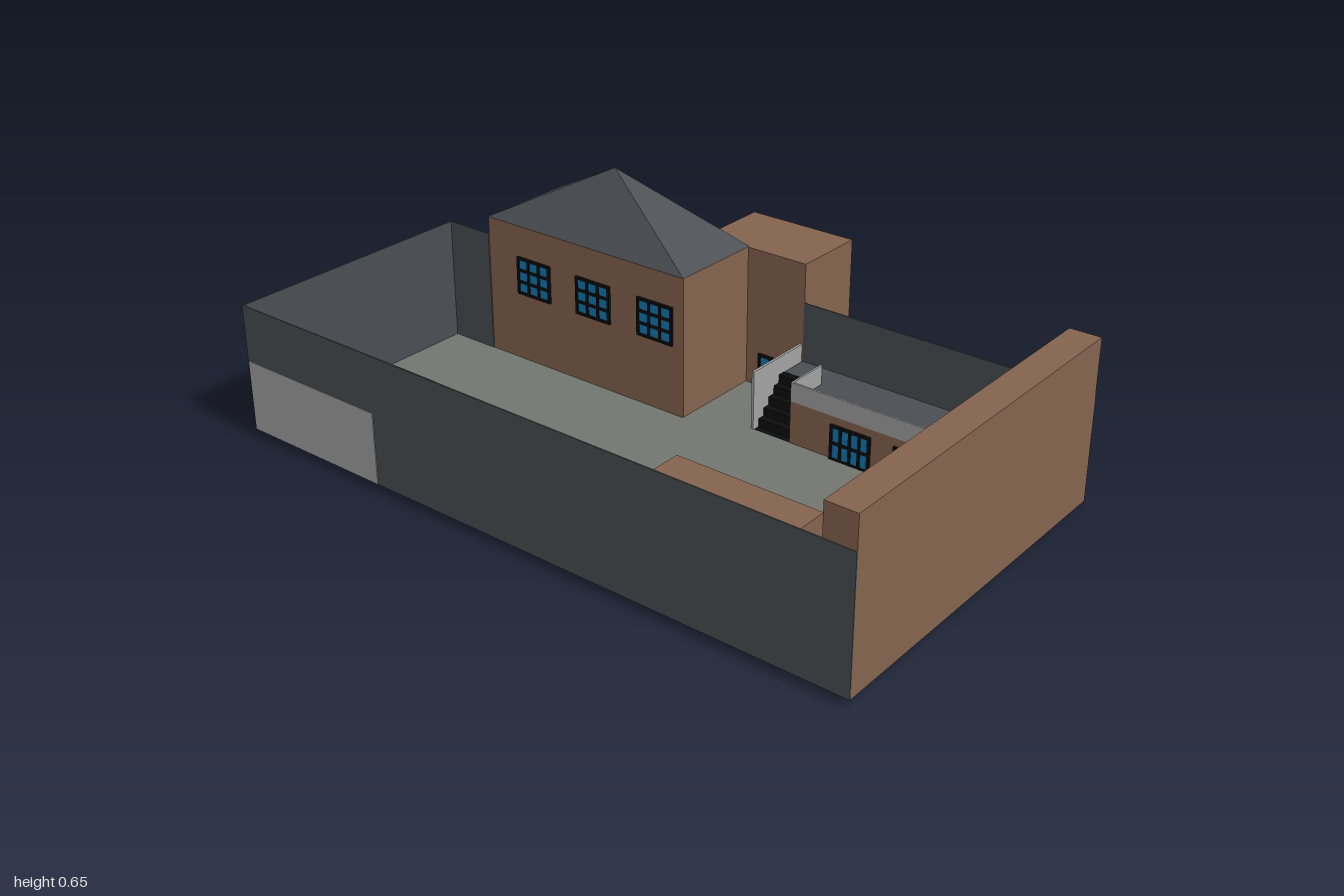
import * as THREE from 'three';

const mat = (name, color, side = THREE.FrontSide) => {
  const m = new THREE.MeshStandardMaterial({ color, side });
  m.name = name;
  return m;
};

export function createModel() {
  const root = new THREE.Group();
  root.name = 'walledCourtyard';
  const brick = mat('brick', 0x84634e);
  const slate = mat('slate', 0x4a4e53);
  const paving = mat('paving', 0x727570);
  const concrete = mat('concrete', 0xa2a2a2);
  const black = mat('black', 0x0c0c0c);
  const glass = mat('glass', 0x1278b0);
  const grass = mat('grass', 0x12cc22, THREE.DoubleSide);

  // Box given by its minimum and maximum corners
  const block = (name, m, x0, x1, y0, y1, z0, z1, parent = root) => {
    const mesh = new THREE.Mesh(new THREE.BoxGeometry(x1 - x0, y1 - y0, z1 - z0), m);
    mesh.position.set((x0 + x1) / 2, (y0 + y1) / 2, (z0 + z1) / 2);
    mesh.name = name;
    parent.add(mesh);
    return mesh;
  };

  // Glazed opening facing local +z, with frame and glazing bars
  const glazing = (name, x, y, z, w, h, turn, cols = 3, rows = 3) => {
    const g = new THREE.Group();
    g.name = name;
    block('pane', glass, -w / 2, w / 2, -h / 2, h / 2, 0, 0.004, g);
    const t = 0.004;
    for (let i = 0; i <= cols; i++) {
      const bx = -w / 2 + (w * i) / cols;
      block('uprightBar', black, bx - t, bx + t, -h / 2 - t, h / 2 + t, 0, 0.008, g);
    }
    for (let j = 0; j <= rows; j++) {
      const by = -h / 2 + (h * j) / rows;
      block('crossBar', black, -w / 2, w / 2, by - t, by + t, 0, 0.0078, g);
    }
    g.position.set(x, y, z);
    g.rotation.y = turn;
    root.add(g);
  };

  // Courtyard floor, cut out below the terrace and the tower
  const outline = [[-0.658, -0.998], [0.13, -0.998], [0.13, -0.1], [0.428, -0.1],
    [0.428, 0.09], [0.2, 0.09], [0.2, 0.91], [-0.658, 0.91]];
  const floorGeo = new THREE.ExtrudeGeometry(
    new THREE.Shape(outline.map(([x, z]) => new THREE.Vector2(x, z))),
    { depth: 0.006, bevelEnabled: false });
  floorGeo.rotateX(Math.PI / 2);
  const floor = new THREE.Mesh(floorGeo, paving);
  floor.name = 'courtyardFloor';
  floor.position.y = 0.027;
  root.add(floor);

  // Front block with two columns of windows above doors
  block('frontBlock', brick, -0.66, 0.428, 0.022, 0.495, 0.91, 1);
  for (const x of [-0.27, -0.045]) {
    for (const y of [0.28, 0.44]) glazing('frontBlockWindow', x, y, 0.91, 0.1, 0.085, Math.PI);
    glazing('frontBlockDoor', x, 0.078, 0.91, 0.12, 0.096, Math.PI, 4, 2);
  }

  // Boundary walls
  block('rightBoundary', slate, -0.662, -0.658, 0.022, 0.402, -1, 1);
  block('backBoundary', slate, -0.66, 0.132, 0.022, 0.402, -1, -0.996);
  block('returnBoundary', slate, 0.128, 0.132, 0.022, 0.402, -1, -0.84);
  block('leftBoundary', slate, 0.427, 0.431, 0.01, 0.335, 0.1, 1);

  // Shed in the back corner
  block('shed', concrete, -0.664, -0.43, 0.023, 0.235, -0.995, -0.5);
  for (const z of [-0.875, -0.64]) glazing('shedDoor', -0.43, 0.078, z, 0.11, 0.1, Math.PI / 2, 4, 2);

  // Small brick outbuilding and its lawn
  block('outbuilding', brick, -0.657, -0.43, 0.018, 0.3, 0.33, 0.76);
  for (const z of [0.45, 0.61]) glazing('outbuildingDoor', -0.43, 0.078, z, 0.1, 0.1, Math.PI / 2, 4, 2);
  glazing('outbuildingBackDoor', -0.6, 0.078, 0.33, 0.1, 0.1, Math.PI, 4, 2);
  const lawn = new THREE.Mesh(new THREE.CircleGeometry(0.118, 12, 0, Math.PI / 2), grass);
  lawn.name = 'quarterLawn';
  lawn.rotation.x = -Math.PI / 2;
  lawn.position.set(-0.657, 0.03, 0.33);
  root.add(lawn);

  // Tower with hipped roof
  block('tower', brick, 0.132, 0.43, 0.023, 0.455, -0.84, -0.1);
  const roofGeo = new THREE.ConeGeometry(Math.SQRT1_2, 0.195, 4).rotateY(Math.PI / 4)
    .scale(0.3, 1, 0.742).toNonIndexed();
  roofGeo.computeVertexNormals();
  const roof = new THREE.Mesh(roofGeo, slate);
  roof.name = 'towerRoof';
  roof.position.set(0.281, 0.5535, -0.47);
  root.add(roof);
  for (const z of [-0.66, -0.43, -0.2]) glazing('towerWindow', 0.132, 0.3, z, 0.12, 0.11, -Math.PI / 2);

  // Side annex
  block('annex', brick, 0.429, 0.66, 0.023, 0.453, -0.25, 0.1);
  glazing('annexDoor', 0.429, 0.078, -0.01, 0.08, 0.1, -Math.PI / 2, 2, 2);

  // Raised terrace: facade, end walls, deck and parapets
  block('terraceFacade', brick, 0.2, 0.206, 0.022, 0.155, 0.22, 0.77);
  block('terraceDeck', slate, 0.205, 0.428, 0.145, 0.153, 0.22, 0.77);
  block('terraceParapet', concrete, 0.2, 0.206, 0.155, 0.213, 0.22, 0.77);
  for (const z of [0.22, 0.764]) {
    block('terraceEndWall', brick, 0.206, 0.34, 0.022, 0.155, z, z + 0.006);
    block('terraceEndParapet', concrete, 0.206, 0.34, 0.155, 0.213, z, z + 0.006);
  }
  for (const [z0, z1] of [[0.1, 0.22], [0.77, 0.91]]) {
    block('terraceLanding', slate, 0.34, 0.428, 0.145, 0.153, z0, z1);
  }
  block('stairScreen', concrete, 0.2, 0.428, 0.022, 0.205, 0.088, 0.096);
  for (const z of [0.42, 0.62]) glazing('terraceDoor', 0.2, 0.078, z, 0.12, 0.1, -Math.PI / 2, 4, 2);

  // Two flights of steps rising to the terrace
  const steps = 6, run = 0.14 / steps, rise = 0.152 / steps;
  for (const [z0, z1] of [[0.097, 0.219], [0.771, 0.909]]) {
    const flight = new THREE.Group();
    flight.name = 'steps';
    for (let i = 0; i < steps; i++) {
      block('step', black, 0.2 + i * run, 0.2 + (i + 1) * run, i * rise, (i + 1) * rise, z0, z1, flight);
    }
    root.add(flight);
  }
  return root;
}
